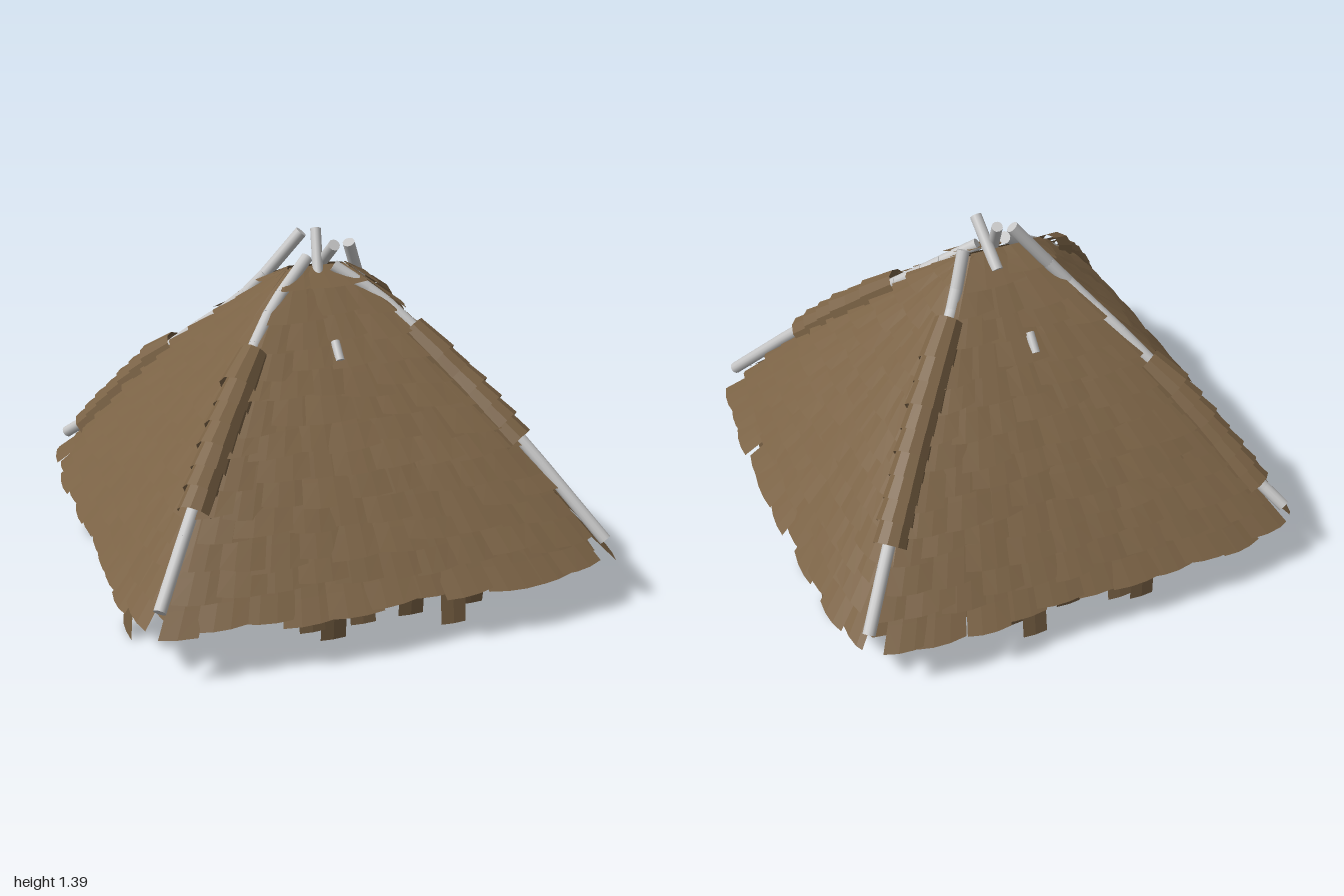
import * as THREE from 'three';
import { mergeGeometries } from 'three/addons/utils/BufferGeometryUtils.js';

const V = (x, y, z) => new THREE.Vector3(x, y, z);

export function createModel() {
  const model = new THREE.Group();
  const thatch = new THREE.MeshStandardMaterial({ color: 0x7a6245, flatShading: true, side: THREE.DoubleSide });
  thatch.name = 'thatch brown';
  const wood = new THREE.MeshStandardMaterial({ color: 0xc6c6c6, side: THREE.DoubleSide });
  wood.name = 'pale grey';

  let seed = 7;
  const rnd = (a = -1, b = 1) => {
    seed = (seed * 16807) % 2147483647;
    return a + (b - a) * (seed / 2147483647);
  };
  const add = (name, geo, mat, parent = model) => {
    const mesh = new THREE.Mesh(geo, mat);
    mesh.name = name;
    parent.add(mesh);
  };

  // Roof outline: half width and half depth from eave (t = 0) to ridge (t = 1)
  const belly = t => 0.055 * Math.sin(Math.PI * Math.min(1, Math.max(0, t)));
  const halfX = t => 0.89 + (0.12 - 0.89) * t + belly(t);
  const halfZ = t => 0.87 + (0.01 - 0.87) * t + belly(t);
  const heightAt = t => 0.2 + 1.04 * t;
  const hip = (sx, sz, t, off = 0) => V(sx * (halfX(t) + off), heightAt(t) + off, sz * (halfZ(t) + off));

  // Point on one of the four slopes; u runs across, off lifts it off the slope
  const slope = (side, u, t, off) => {
    const along = side.axis === 'z' ? halfX(t) : halfZ(t);
    const out = (side.axis === 'z' ? halfZ(t) : halfX(t)) + 0.05 * (1 - t) * (1 - u ** 4) + off;
    const y = heightAt(t) + off * 0.6;
    return side.axis === 'z' ? V(u * along, y, side.s * out) : V(side.s * out, y, u * along);
  };
  const patch = (nu, nv, fn) => {
    const g = new THREE.PlaneGeometry(1, 1, nu, nv);
    const p = g.attributes.position;
    for (let i = 0; i < p.count; i++) {
      const q = fn(p.getX(i) + 0.5, p.getY(i) + 0.5);
      p.setXYZ(i, q.x, q.y, q.z);
    }
    g.computeVertexNormals();
    return g;
  };

  const sides = [
    { name: 'front', axis: 'z', s: 1 }, { name: 'back', axis: 'z', s: -1 },
    { name: 'left', axis: 'x', s: 1 }, { name: 'right', axis: 'x', s: -1 },
  ];
  // Hanging strips: [centre, width, bottom height]
  const frontStrips = [[-0.33, 0.1, 0.13], [-0.24, 0.1, 0.07], [-0.13, 0.1, 0.13],
    [0.07, 0.1, 0.12], [0.235, 0.1, 0.07], [0.32, 0.1, 0.12]];
  const sideStrips = [[0.54, 0.14, 0.08], [0.48, 0.14, 0.002], [0.28, 0.14, 0.08],
    [-0.09, 0.12, 0.1], [-0.175, 0.1, 0.01], [-0.3, 0.14, 0.1], [-0.43, 0.14, 0.002]];

  const rows = 13;
  for (const side of sides) {
    const group = new THREE.Group();
    group.name = side.name + 'Slope';
    model.add(group);
    add('underlay', patch(10, 10, (a, b) => slope(side, a * 2 - 1, 0.03 + b * 0.97, 0)), thatch, group);

    // Overlapping ragged shingles, the lowest row dipping a little at the eave
    const tiles = [];
    for (let r = 0; r < rows; r++) {
      const t0 = r / rows;
      const w = side.axis === 'z' ? halfX(t0) : halfZ(t0);
      const n = Math.max(2, Math.round((2 * w) / 0.16));
      for (let c = 0; c < n; c++) {
        const mid = ((c + 0.5 + (r % 2 ? 0.2 : -0.2)) / n) * 2 - 1 + rnd() * 0.03;
        const hw = (1 / n) * rnd(1.05, 1.4);
        const bottom = t0 - (r ? 0 : 0.012) + rnd() * 0.014;
        const tilt = rnd() * 0.015;
        const lift = rnd(0.024, 0.04);
        const top = Math.min(1.005, bottom + 0.15);
        tiles.push(patch(3, 2, (a, b) => {
          const u = Math.max(-1.01, Math.min(1.01, mid + (a * 2 - 1) * hw));
          const t = bottom + (top - bottom) * b + (tilt * (a - 0.5) - 0.006 * Math.sin(Math.PI * a)) * (1 - b);
          return slope(side, u, t, 0.005 + lift * (1 - b) + 0.004 * Math.sin(Math.PI * a));
        }));
      }
    }
    add('shingles', mergeGeometries(tiles), thatch, group);

    // Strips drooping from beneath the eave
    const strips = (side.axis === 'z' ? frontStrips : sideStrips).map(([c, width, low]) => {
      const lean = rnd(-0.03, 0.03);
      return patch(2, 2, (a, b) => {
        const x = c + (a - 0.5) * width;
        const out = 0.915 + lean * (1 - b) + 0.004 * Math.sin(Math.PI * a);
        const y = low + (0.24 - low) * b;
        return side.axis === 'z' ? V(x, y, side.s * out) : V(side.s * out, y, x);
      });
    });
    add('hangingStrips', mergeGeometries(strips), thatch, group);
  }

  // Straight round bar between two points
  const bar = (a, b, r0, r1 = r0, seg = 12, open = false) => {
    const d = b.clone().sub(a);
    const g = new THREE.CylinderGeometry(r1, r0, d.length(), seg, 1, open);
    g.applyQuaternion(new THREE.Quaternion().setFromUnitVectors(V(0, 1, 0), d.clone().normalize()));
    const m = a.clone().add(b).multiplyScalar(0.5);
    return g.translate(m.x, m.y, m.z);
  };

  // Corner poles following the hips, with rolled thatch caps over the middle
  const corners = [
    { name: 'frontRight', sx: -1, sz: 1, from: 0.32, to: 0.72, tip: V(-0.04, 1.28, 0) },
    { name: 'frontLeft', sx: 1, sz: 1, from: 0.4, to: 0.74, tip: V(0.06, 1.25, 0.04) },
    { name: 'backRight', sx: -1, sz: -1, from: 0.14, to: 0.56, tip: V(-0.04, 1.37, -0.07) },
    { name: 'backLeft', sx: 1, sz: -1, from: 0.28, to: 0.8, tip: V(0.16, 1.31, -0.06) },
  ];
  for (const { name, sx, sz, from, to, tip } of corners) {
    const path = new THREE.CatmullRomCurve3([V(sx * 0.895, 0.29, sz * 0.885), hip(sx, sz, from + 0.03, 0.018),
      hip(sx, sz, 0.6, 0.01), hip(sx, sz, 0.87, 0.006), tip]).getPoints(12);
    add(name + 'Pole', mergeGeometries(path.slice(1).map((p, i) => bar(path[i], p, 0.025))), wood);
    const caps = [];
    const count = Math.round((to - from) / 0.06);
    for (let i = 0; i < count; i++) {
      const t = from + ((to - from) * i) / count;
      caps.push(bar(hip(sx, sz, t, rnd(0.004, 0.012)), hip(sx, sz, t + 0.1, 0.002),
        rnd(0.068, 0.076), 0.058, 10, true));
    }
    add(name + 'HipCaps', mergeGeometries(caps), thatch);
  }

  // Crossed pole ends above the ridge
  add('crossedPoleFront', bar(V(-0.01, 1.18, 0.06), V(0.018, 1.38, -0.06), 0.022), wood);
  add('crossedPoleBack', bar(V(0.03, 1.2, -0.09), V(0.045, 1.35, 0.09), 0.024), wood);
  // Stubs of the middle poles showing through the thatch
  for (const s of [1, -1])
    add('middlePoleStub', bar(V(-0.02, 0.96, s * 0.35), V(-0.02, 1.02, s * 0.29), 0.018), wood);

  // Inner shell: rounded-square rings [half size, height] from the bevelled rim inwards
  const rings = [[0.8, 0.27], [0.85, 0.24], [0.85, 0.205], [0.82, 0.178], [0.785, 0.175], [0.765, 0.19],
    [0.74, 0.23], [0.62, 0.35], [0.48, 0.47], [0.35, 0.61], [0.2, 0.78], [0.06, 0.92], [0.001, 0.95]];
  const shell = patch(64, rings.length - 1, (a, b) => {
    const [h, y] = rings[Math.round(b * (rings.length - 1))];
    const c = Math.cos(a * Math.PI * 2), s = Math.sin(a * Math.PI * 2);
    const k = h / (Math.abs(c) ** 14 + Math.abs(s) ** 14) ** (1 / 14);
    return V(k * c, y, k * s);
  });
  add('innerShell', shell, wood);

  return model;
}
